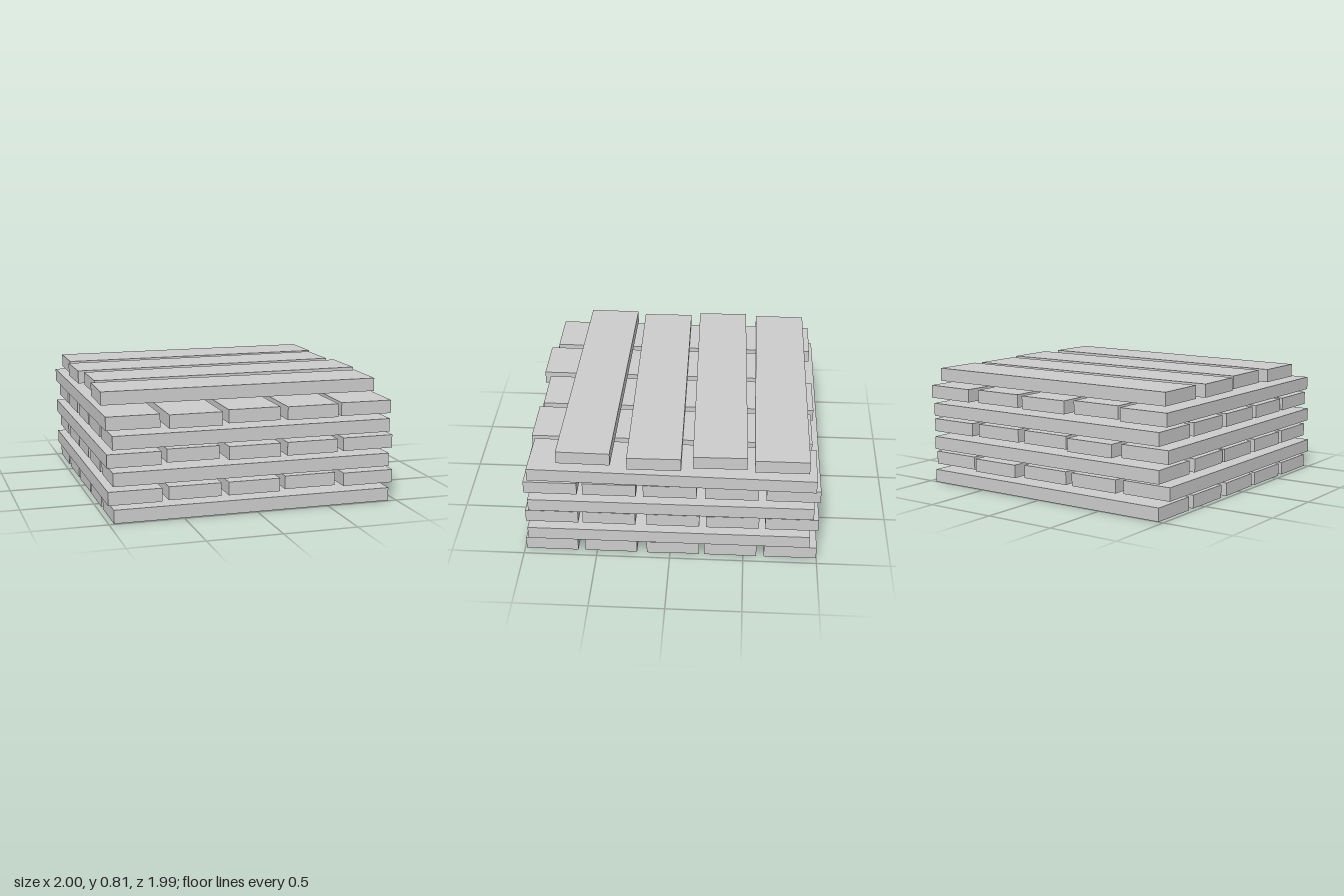
import * as THREE from 'three';

const LENGTH = 1.91, WIDTH = 0.357, THICK = 0.09, STEP = 0.12;

// Each layer lists its planks as [x, z, turn]; layers alternate direction.
const LAYERS = [
  [[-0.01, 0.81], [-0.01, 0.405], [-0.01, -0.005, 0.015], [-0.01, -0.412], [-0.01, -0.82]],
  [[-0.822, 0.03], [-0.417, 0.01], [-0.01, 0.01], [0.397, -0.03], [0.802, 0.01]],
  [[-0.01, 0.8], [-0.01, 0.405, -0.008], [-0.01, -0.02], [-0.01, -0.412, 0.011], [-0.01, -0.82]],
  [[-0.822, 0.01], [-0.417, -0.035], [-0.01, 0.015], [0.397, 0.01], [0.802, -0.005]],
  [[-0.01, 0.8], [-0.01, 0.405], [-0.01, 0], [-0.01, -0.412], [-0.01, -0.82]],
  [[-0.822, -0.01], [-0.417, 0.038], [-0.01, -0.011, 0.005], [0.397, 0.01], [0.804, -0.012, -0.018]],
  [[0, -0.735], [-0.023, -0.315, 0.0155], [0.013, 0.112, 0.011], [-0.026, 0.556, -0.017]],
];

// Plank shell: a box without its underside
function plankGeometry() {
  const geometry = new THREE.BoxGeometry(LENGTH, THICK, WIDTH);
  const index = Array.from(geometry.index.array);
  index.splice(18, 6); // the fourth face is the bottom one
  geometry.setIndex(index);
  geometry.clearGroups();
  return geometry;
}

export function createModel() {
  const model = new THREE.Group();
  model.name = 'plankStack';
  const material = new THREE.MeshStandardMaterial({ color: 0xcccccc, side: THREE.DoubleSide });
  const geometry = plankGeometry();

  LAYERS.forEach((planks, level) => {
    const layer = new THREE.Group();
    layer.name = `layer${level + 1}`;
    layer.position.y = THICK / 2 + 0.002 + level * STEP;
    const across = level % 2 ? Math.PI / 2 : 0;
    planks.forEach(([x, z, turn = 0], i) => {
      const plank = new THREE.Mesh(geometry, material);
      plank.name = `plank${i + 1}`;
      plank.position.set(x, 0, z);
      plank.rotation.y = across + turn;
      layer.add(plank);
    });
    model.add(layer);
  });
  return model;
}
